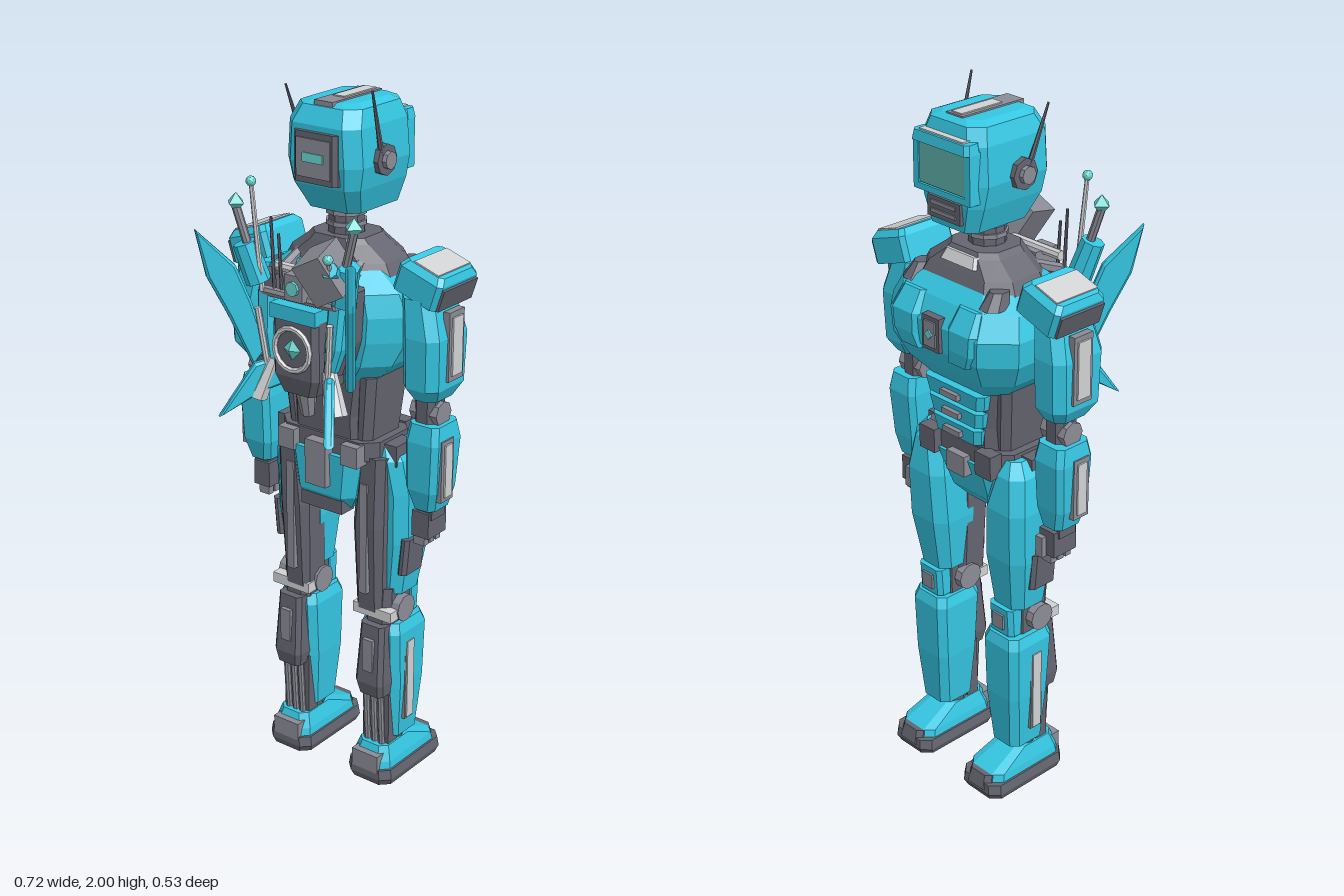
import * as THREE from 'three';

const flat = (name, color) => Object.assign(new THREE.MeshStandardMaterial({ color }), { name, flatShading: true });
const teal = flat('teal armour', 0x35c6e2);
const dark = flat('dark grey frame', 0x646570);
const mid = flat('mid grey metal', 0x8b8c96);
const light = flat('light grey trim', 0xd0d2d4);
const glow = flat('pale cyan light', 0x6cd6d2);
const screen = flat('screen green', 0x5fb0ac);

export function createModel() {
  const root = new THREE.Group();
  root.name = 'robot';
  let parent = root;

  const group = (name, build) => {
    const g = new THREE.Group(), previous = parent;
    g.name = name;
    previous.add(g);
    parent = g;
    build();
    parent = previous;
  };
  const mesh = (name, mat, geo) => {
    const m = new THREE.Mesh(geo, mat);
    m.name = name;
    parent.add(m);
    return m;
  };
  // box given by its limits on each axis, mirrored by s
  const box = (name, mat, x0, x1, y0, y1, z0, z1, s = 1) => {
    const m = mesh(name, mat, new THREE.BoxGeometry(x1 - x0, y1 - y0, z1 - z0));
    m.position.set(s * (x0 + x1) / 2, (y0 + y1) / 2, (z0 + z1) / 2);
  };
  // chamfered solid from rings [y, x0, x1, z0, z1, chamfer], bottom to top
  const loft = (name, mat, rings, s = 1) => {
    const pos = [], idx = [];
    rings.forEach(([y, p, q, z0, z1, c]) => {
      const x0 = s > 0 ? p : -q, x1 = s > 0 ? q : -p;
      [[x1 - c, z1], [x1, z1 - c], [x1, z0 + c], [x1 - c, z0], [x0 + c, z0], [x0, z0 + c], [x0, z1 - c], [x0 + c, z1]]
        .forEach(([x, z]) => pos.push(x, y, z));
    });
    const top = (rings.length - 1) * 8;
    for (let r = 0; r < top; r += 8) for (let i = 0; i < 8; i++) {
      const j = (i + 1) % 8;
      idx.push(r + i, r + j, r + 8 + j, r + i, r + 8 + j, r + 8 + i);
    }
    for (let i = 1; i < 7; i++) idx.push(0, i + 1, i, top, top + i, top + i + 1);
    const g = new THREE.BufferGeometry();
    g.setAttribute('position', new THREE.Float32BufferAttribute(pos, 3));
    g.setIndex(idx);
    const f = g.toNonIndexed();
    f.computeVertexNormals();
    mesh(name, mat, f);
  };
  // tapered rod between two points
  const rod = (name, mat, a, b, r0, r1 = r0, sides = 8) => {
    const A = new THREE.Vector3(...a), B = new THREE.Vector3(...b), d = B.clone().sub(A);
    const m = mesh(name, mat, new THREE.CylinderGeometry(r1, r0, d.length(), sides));
    m.position.copy(A).add(B).multiplyScalar(0.5);
    m.quaternion.setFromUnitVectors(new THREE.Vector3(0, 1, 0), d.normalize());
  };

  group('head', () => {
    loft('skull', teal, [[1.67, -0.085, 0.085, -0.19, 0.02, 0.025], [1.74, -0.11, 0.11, -0.198, 0.06, 0.03],
      [1.8, -0.122, 0.122, -0.2, 0.07, 0.035], [1.9, -0.115, 0.115, -0.197, 0.07, 0.035],
      [1.945, -0.1, 0.1, -0.185, 0.045, 0.035], [1.955, -0.075, 0.075, -0.165, 0.025, 0.03]]);
    box('crownStrip', mid, -0.03, 0.03, 1.94, 1.959, -0.165, 0.043);
    box('crownInset', light, -0.018, 0.018, 1.955, 1.962, -0.157, -0.02);
    loft('visorBrim', teal, [[1.885, -0.105, 0.105, -0.222, -0.17, 0.01], [1.912, -0.1, 0.1, -0.218, -0.17, 0.01]]);
    box('brimTrim', light, -0.08, 0.08, 1.909, 1.916, -0.211, -0.186);
    box('visorFrame', dark, -0.092, 0.092, 1.765, 1.887, -0.204, -0.19);
    box('visorScreen', screen, -0.083, 0.083, 1.775, 1.882, -0.209, -0.202);
    box('visorSill', teal, -0.095, 0.095, 1.755, 1.772, -0.211, -0.18);
    for (const s of [1, -1]) {
      box('visorSide', teal, 0.085, 0.104, 1.755, 1.89, -0.211, -0.17, s);
      rod('earCup', dark, [s * 0.105, 1.81, -0.05], [s * 0.135, 1.81, -0.05], 0.042);
      rod('earCap', mid, [s * 0.13, 1.81, -0.05], [s * 0.148, 1.81, -0.05], 0.024);
      rod('antenna', dark, [s * 0.128, 1.82, -0.035], [s * 0.139, s > 0 ? 2 : 1.98, 0.022], 0.008, 0.003, 6);
    }
    box('mouthPlate', dark, -0.06, 0.06, 1.692, 1.748, -0.205, -0.18);
    for (const y of [1.705, 1.728]) box('mouthSlot', mid, -0.045, 0.045, y, y + 0.01, -0.209, -0.203);
    loft('rearPanel', dark, [[1.752, -0.07, 0.07, 0.05, 0.083, 0.01], [1.885, -0.07, 0.07, 0.05, 0.083, 0.01]]);
    box('rearPanelInset', mid, -0.055, 0.055, 1.768, 1.869, 0.08, 0.087);
    box('rearLight', glow, -0.033, 0.033, 1.808, 1.832, 0.083, 0.09);
  });

  group('neck', () => {
    rod('neckColumn', dark, [0, 1.56, -0.055], [0, 1.69, -0.055], 0.052, 0.048, 10);
    for (const y of [1.62, 1.65]) rod('neckRing', mid, [0, y, -0.055], [0, y + 0.012, -0.055], 0.056, 0.056, 10);
    loft('collar', dark, [[1.5, -0.18, 0.18, -0.185, 0.045, 0.06], [1.545, -0.155, 0.155, -0.165, 0.03, 0.05],
      [1.585, -0.1, 0.1, -0.145, 0.02, 0.04], [1.6, -0.085, 0.085, -0.135, 0.015, 0.035]]);
    loft('collarTrim', light, [[1.562, -0.07, 0.07, -0.164, -0.12, 0.01], [1.59, -0.06, 0.06, -0.15, -0.12, 0.01]]);
  });

  group('torso', () => {
    loft('chest', teal, [[1.225, -0.145, 0.145, -0.165, 0.05, 0.045], [1.28, -0.2, 0.2, -0.21, 0.068, 0.06],
      [1.35, -0.235, 0.235, -0.245, 0.072, 0.075], [1.42, -0.24, 0.24, -0.248, 0.072, 0.075],
      [1.48, -0.215, 0.215, -0.215, 0.068, 0.065], [1.53, -0.15, 0.15, -0.165, 0.045, 0.05]]);
    for (const s of [1, -1]) {
      loft('pectoralPlate', teal, [[1.335, 0.05, 0.13, -0.25, -0.2, 0.008], [1.375, 0.05, 0.16, -0.258, -0.2, 0.02],
        [1.43, 0.05, 0.165, -0.258, -0.19, 0.02], [1.485, 0.06, 0.15, -0.222, -0.17, 0.015]], s);
      rod('shoulderJoint', dark, [s * 0.17, 1.45, -0.06], [s * 0.28, 1.43, -0.06], 0.05);
      loft('flank', dark, [[1.04, 0.085, 0.14, -0.125, 0.03, 0.02], [1.24, 0.1, 0.16, -0.14, 0.04, 0.02]], s);
      loft('collarWedge', dark, [[1.49, 0.11, 0.18, -0.208, -0.13, 0.02], [1.53, 0.12, 0.165, -0.175, -0.12, 0.015]], s);
    }
    box('chestBadge', dark, -0.032, 0.032, 1.35, 1.445, -0.257, -0.2);
    box('badgeInset', mid, -0.021, 0.021, 1.362, 1.433, -0.262, -0.255);
    rod('badgeLight', glow, [0, 1.397, -0.259], [0, 1.397, -0.266], 0.014, 0.014, 4);
    loft('abdomen', dark, [[1.0, -0.12, 0.12, -0.15, 0.04, 0.03], [1.12, -0.12, 0.12, -0.155, 0.045, 0.03], [1.25, -0.14, 0.14, -0.16, 0.05, 0.03]]);
    [1.07, 1.125, 1.18].forEach((y, i) => {
      const w = 0.085 + i * 0.01;
      loft('abdomenPlate', teal, [[y, -w, w, -0.175 - i * 0.004, -0.12, 0.015], [y + 0.045, -w - 0.008, w + 0.008, -0.181 - i * 0.004, -0.12, 0.015]]);
      box('plateLatch', mid, -0.032, 0.032, y + 0.013, y + 0.03, -0.192 - i * 0.004, -0.165);
    });
  });

  group('hips', () => {
    loft('belt', dark, [[1.0, -0.165, 0.165, -0.155, 0.05, 0.04], [1.055, -0.165, 0.165, -0.155, 0.05, 0.04]]);
    for (const s of [1, -1]) {
      box('rearPouch', mid, 0.08, 0.135, 0.99, 1.05, 0.03, 0.075, s);
      box('frontPouch', dark, 0.08, 0.14, 0.99, 1.06, -0.18, -0.14, s);
      box('sidePouch', dark, 0.15, 0.205, 0.985, 1.045, -0.09, -0.01, s);
    }
    box('rearBuckle', mid, -0.035, 0.035, 0.91, 1.04, 0.05, 0.083);
    loft('pelvis', teal, [[0.835, -0.07, 0.07, -0.08, 0.03, 0.02], [0.88, -0.1, 0.1, -0.12, 0.06, 0.03], [1.005, -0.12, 0.12, -0.165, 0.065, 0.035]]);
    box('rearHem', dark, -0.07, 0.07, 0.83, 0.87, 0.0, 0.055);
    box('frontBuckle', mid, -0.035, 0.035, 0.96, 1.02, -0.178, -0.15);
  });

  for (const s of [1, -1]) {
    group(s > 0 ? 'leftArm' : 'rightArm', () => {
      group('shoulderPad', () => {
        parent.position.set(s * 0.283, 1.523, -0.068);
        parent.rotation.z = -s * 0.32;
        loft('padShell', teal, [[-0.045, -0.072, 0.068, -0.088, 0.088, 0.012], [0.025, -0.072, 0.068, -0.088, 0.088, 0.012], [0.043, -0.06, 0.056, -0.073, 0.073, 0.012]], s);
        box('padInset', light, -0.037, 0.042, 0.038, 0.047, -0.072, 0.072, s);
        box('padEdge', dark, 0.06, 0.075, -0.043, 0.018, -0.076, 0.076, s);
      });
      loft('upperArm', teal, [[1.2, 0.25, 0.325, -0.11, 0.0, 0.02], [1.24, 0.235, 0.347, -0.135, 0.03, 0.025],
        [1.38, 0.235, 0.35, -0.14, 0.035, 0.025], [1.48, 0.22, 0.32, -0.125, 0.02, 0.025]], s);
      box('upperArmFrame', mid, 0.335, 0.355, 1.26, 1.45, -0.093, -0.027, s);
      box('upperArmInset', light, 0.352, 0.36, 1.275, 1.435, -0.082, -0.038, s);
      loft('elbow', dark, [[1.08, 0.245, 0.31, -0.095, -0.02, 0.015], [1.23, 0.245, 0.31, -0.095, -0.02, 0.015]], s);
      rod('elbowDisc', mid, [s * 0.235, 1.155, -0.058], [s * 0.322, 1.155, -0.058], 0.035);
      loft('forearm', teal, [[0.88, 0.25, 0.32, -0.105, -0.015, 0.015], [0.94, 0.235, 0.335, -0.115, 0.0, 0.015],
        [1.08, 0.235, 0.342, -0.125, 0.005, 0.015], [1.13, 0.242, 0.335, -0.115, -0.005, 0.015]], s);
      box('forearmFrame', mid, 0.325, 0.345, 0.915, 1.09, -0.075, -0.02, s);
      box('forearmInset', light, 0.342, 0.35, 0.928, 1.078, -0.064, -0.032, s);
      box('wrist', dark, 0.26, 0.31, 0.85, 0.9, -0.09, -0.03, s);
      box('palm', dark, 0.25, 0.305, 0.795, 0.87, -0.105, -0.022, s);
      for (let i = 0; i < 3; i++) box('finger', mid, 0.255, 0.29, 0.77, 0.81, -0.1 + i * 0.027, -0.08 + i * 0.027, s);
      box('thumb', mid, 0.25, 0.275, 0.79, 0.85, -0.12, -0.1, s);
    });

    group(s > 0 ? 'leftLeg' : 'rightLeg', () => {
      rod('hipJoint', dark, [s * 0.08, 0.97, -0.055], [s * 0.19, 0.97, -0.055], 0.055);
      loft('thighShell', teal, [[0.59, 0.09, 0.205, -0.14, -0.02, 0.025], [0.75, 0.078, 0.228, -0.165, -0.01, 0.03],
        [0.9, 0.085, 0.23, -0.17, -0.005, 0.03], [1.0, 0.11, 0.215, -0.155, 0.005, 0.03], [1.04, 0.13, 0.185, -0.13, -0.01, 0.02]], s);
      loft('thighRear', dark, [[0.54, 0.085, 0.17, -0.08, 0.015, 0.015], [0.8, 0.078, 0.18, -0.08, 0.03, 0.02], [1.01, 0.1, 0.185, -0.08, 0.03, 0.02]], s);
      box('thighRearStrip', mid, 0.115, 0.14, 0.6, 0.93, 0.01, 0.035, s);
      loft('thighBox', dark, [[0.66, 0.2, 0.23, -0.11, -0.02, 0.01], [0.77, 0.21, 0.24, -0.11, -0.02, 0.01]], s);
      loft('knee', dark, [[0.48, 0.1, 0.19, -0.125, 0.0, 0.02], [0.61, 0.1, 0.19, -0.125, 0.0, 0.02]], s);
      rod('kneeDisc', mid, [s * 0.076, 0.545, -0.055], [s * 0.214, 0.545, -0.055], 0.04, 0.04, 10);
      box('kneeBand', light, 0.08, 0.21, 0.522, 0.553, -0.03, 0.014, s);
      loft('kneeCap', teal, [[0.505, 0.1, 0.19, -0.15, -0.1, 0.012], [0.59, 0.1, 0.19, -0.155, -0.1, 0.012]], s);
      box('kneeCapInset', mid, 0.125, 0.165, 0.525, 0.57, -0.16, -0.148, s);
      loft('shin', teal, [[0.13, 0.095, 0.2, -0.145, -0.025, 0.02], [0.3, 0.082, 0.212, -0.16, -0.015, 0.02],
        [0.47, 0.08, 0.215, -0.165, -0.005, 0.02], [0.5, 0.09, 0.205, -0.155, -0.015, 0.02]], s);
      box('shinFrame', mid, 0.195, 0.214, 0.185, 0.44, -0.096, -0.054, s);
      box('shinInset', light, 0.21, 0.218, 0.19, 0.435, -0.091, -0.06, s);
      loft('calfBox', dark, [[0.28, 0.108, 0.19, -0.03, 0.03, 0.012], [0.32, 0.1, 0.195, -0.03, 0.038, 0.012], [0.5, 0.107, 0.188, -0.03, 0.022, 0.012]], s);
      box('calfInset', mid, 0.13, 0.165, 0.36, 0.46, 0.02, 0.038, s);
      box('calfBacking', dark, 0.1, 0.19, 0.11, 0.3, -0.05, -0.01, s);
      for (const x of [0.12, 0.145, 0.17]) rod('calfPiston', mid, [s * x, 0.11, -0.006], [s * x, 0.3, 0.005], 0.01);
      rod('ankle', dark, [s * 0.145, 0.07, -0.07], [s * 0.145, 0.15, -0.07], 0.048);
      loft('sole', dark, [[0, 0.078, 0.215, -0.235, 0.035, 0.025], [0.02, 0.07, 0.222, -0.245, 0.042, 0.025], [0.05, 0.074, 0.218, -0.242, 0.04, 0.025]], s);
      loft('footShell', teal, [[0.05, 0.08, 0.212, -0.225, 0.035, 0.025], [0.072, 0.083, 0.209, -0.22, 0.032, 0.025], [0.115, 0.097, 0.195, -0.12, 0.015, 0.02]], s);
      loft('toeCap', dark, [[0.03, 0.1, 0.192, -0.248, -0.19, 0.015], [0.072, 0.105, 0.187, -0.236, -0.18, 0.015]], s);
      box('heelPlate', mid, 0.1, 0.19, 0.04, 0.095, 0.01, 0.043, s);
    });
  }

  group('backpack', () => {
    loft('packBase', dark, [[1.22, -0.08, 0.08, 0.04, 0.12, 0.02], [1.48, -0.1, 0.1, 0.04, 0.12, 0.02]]);
    loft('packCore', dark, [[1.2, -0.055, 0.055, 0.09, 0.16, 0.015], [1.25, -0.075, 0.075, 0.09, 0.172, 0.015], [1.41, -0.075, 0.075, 0.09, 0.172, 0.015]]);
    box('packHood', teal, -0.075, 0.075, 1.405, 1.445, 0.1, 0.175);
    box('packTop', mid, -0.03, 0.03, 1.46, 1.53, 0.09, 0.17);
    rod('packTopLight', glow, [0, 1.495, 0.165], [0, 1.495, 0.178], 0.02);
    rod('crossBar', light, [-0.09, 1.53, 0.125], [0.09, 1.53, 0.125], 0.014);
    rod('lowerBar', mid, [-0.12, 1.46, 0.14], [0.12, 1.46, 0.14], 0.014);
    mesh('coreRing', light, new THREE.TorusGeometry(0.058, 0.008, 6, 16)).position.set(0, 1.33, 0.177);
    rod('coreDisc', dark, [0, 1.33, 0.168], [0, 1.33, 0.176], 0.05, 0.05, 16);
    rod('coreLight', glow, [0, 1.33, 0.174], [0, 1.33, 0.19], 0.032, 0.002, 4);
    rod('tailNozzle', mid, [0, 1.21, 0.12], [0, 1.13, 0.11], 0.03, 0.02);

    // fins are flat plates standing on edge and splayed outwards
    const upper = [[0.06, 1.29], [0.09, 1.25], [0.15, 1.39], [0.205, 1.5], [0.235, 1.62], [0.14, 1.52], [0.1, 1.42]];
    const lower = [[0.05, 1.28], [0.06, 1.21], [0.13, 1.19], [0.235, 1.13], [0.14, 1.26]];
    const blade = (name, points, s, x, z) => {
      const shape = new THREE.Shape(points.map(p => new THREE.Vector2(...p)));
      const g = new THREE.ExtrudeGeometry(shape, { depth: 0.012, bevelThickness: 0.007, bevelSize: 0.007, bevelSegments: 1 });
      const m = mesh(name, teal, g.translate(0, 0, -0.006));
      m.position.set(s * x, 0, z);
      m.rotation.y = Math.atan2(-0.8, 0.6 * s);
    };
    for (const s of [1, -1]) {
      blade('upperFin', upper, s, 0.11, 0.068);
      blade('lowerFin', lower, s, 0.04, 0.065);
      loft('packSide', dark, [[1.27, 0.08, 0.12, 0.06, 0.13, 0.012], [1.36, 0.08, 0.15, 0.06, 0.13, 0.015], [1.5, 0.09, 0.16, 0.06, 0.12, 0.015]], s);
      loft('packSidePlate', teal, [[1.28, 0.08, 0.115, 0.1, 0.155, 0.01], [1.35, 0.085, 0.14, 0.1, 0.16, 0.012], [1.46, 0.09, 0.145, 0.1, 0.15, 0.012]], s);
      rod('thruster', light, [s * 0.095, 1.28, 0.14], [s * 0.135, 1.17, 0.165], 0.02, 0.034);
      rod('strut', light, [s * 0.1, 1.25, 0.155], [s * 0.12, 1.42, 0.17], 0.009);
      rod('shoulderStrap', mid, [s * 0.1, 1.5, 0.11], [s * 0.1, 1.555, -0.02], 0.016, 0.016, 6);
      rod('diamondSocket', teal, [s * 0.14, 1.48, 0.14], [s * 0.17, 1.585, 0.16], 0.035, 0.032);
      rod('diamondRod', mid, [s * 0.155, 1.56, 0.155], [s * 0.192, 1.68, 0.165], 0.012);
      mesh('diamondTip', glow, new THREE.OctahedronGeometry(0.027)).position.set(s * 0.192, 1.69, 0.165);
      const end = s > 0 ? [0.165, 1.62, 0.235] : [-0.14, 1.755, 0.165];
      rod('ballRod', light, [s * 0.12, 1.46, 0.15], end, 0.008, 0.006, 6);
      mesh('ballTip', glow, new THREE.IcosahedronGeometry(0.014, 1)).position.set(...end);
    }
    for (const [x, y] of [[-0.1, 1.66], [-0.075, 1.62]])
      rod('thinAntenna', dark, [x + 0.015, 1.45, 0.14], [x, y, 0.135], 0.006, 0.004, 6);
    const pod = mesh('sensorPod', mid, new THREE.BoxGeometry(0.09, 0.12, 0.11));
    pod.position.set(0.117, 1.565, 0.18);
    pod.rotation.set(0.25, 0.2, 0.45);
    rod('podLens', teal, [0.14, 1.565, 0.19], [0.158, 1.59, 0.222], 0.028, 0.022);
  });

  return root;
}
